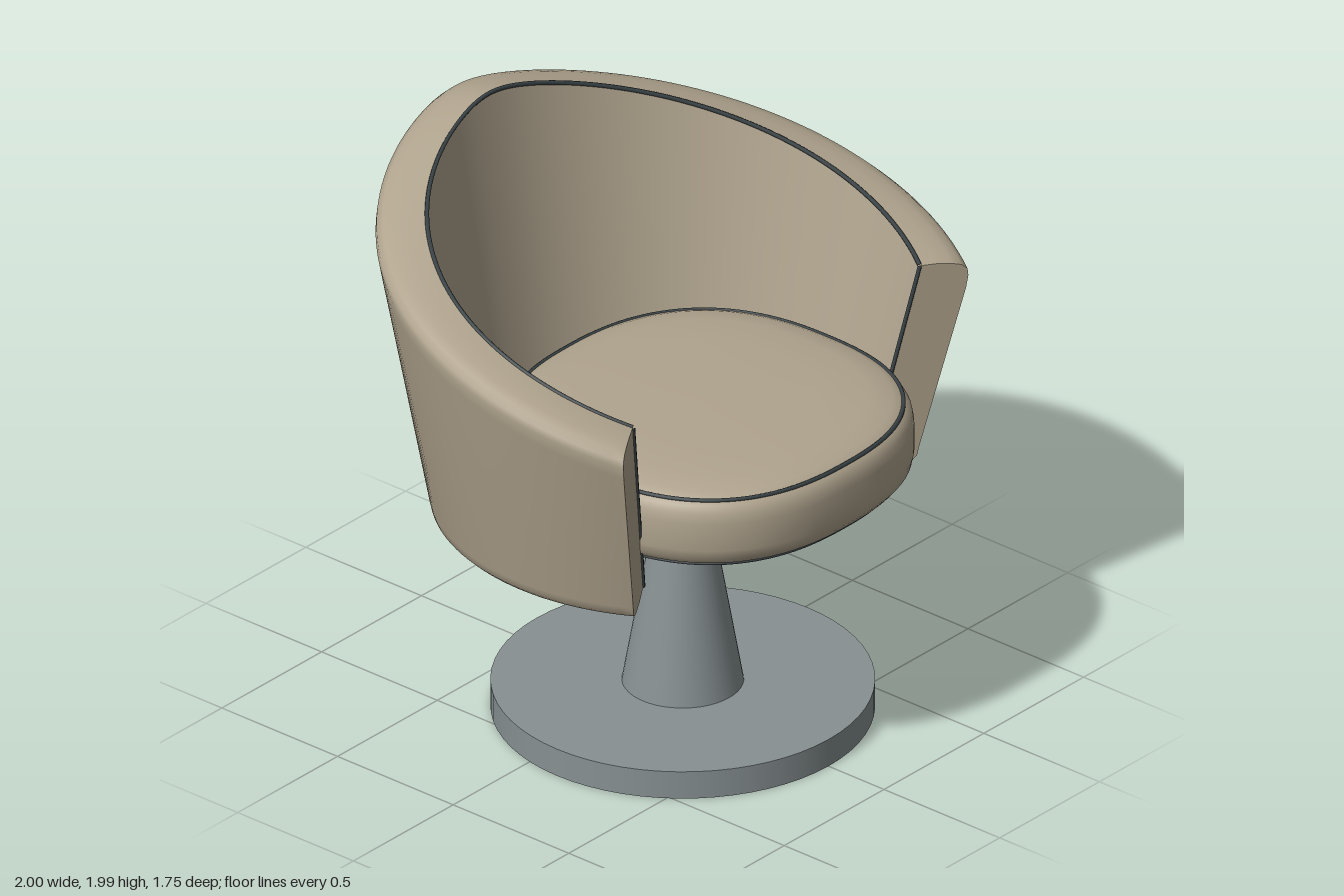
import * as THREE from 'three';
import { toCreasedNormals } from 'three/addons/utils/BufferGeometryUtils.js';

const material = (name, color) => {
  const m = new THREE.MeshStandardMaterial({ color });
  m.name = name;
  return m;
};

// Surface from a rule point(i, j) -> [x, y, z]; i cross j points outward.
function gridGeometry(nu, nv, point, capEnds = false) {
  const pos = [], index = [];
  for (let i = 0; i <= nu; i++) for (let j = 0; j <= nv; j++) pos.push(...point(i, j));
  const id = (i, j) => i * (nv + 1) + j;
  for (let i = 0; i < nu; i++) for (let j = 0; j < nv; j++) {
    index.push(id(i, j), id(i + 1, j), id(i, j + 1));
    index.push(id(i + 1, j), id(i + 1, j + 1), id(i, j + 1));
  }
  if (capEnds) for (const i of [0, nu]) {
    const c = [0, 0, 0];
    for (let j = 0; j < nv; j++) point(i, j).forEach((v, k) => { c[k] += v / nv; });
    const ci = pos.length / 3;
    pos.push(...c);
    for (let j = 0; j < nv; j++) {
      if (i === 0) index.push(ci, id(i, j), id(i, j + 1));
      else index.push(ci, id(i, j + 1), id(i, j));
    }
  }
  const g = new THREE.BufferGeometry();
  g.setAttribute('position', new THREE.Float32BufferAttribute(pos, 3));
  g.setIndex(index);
  return toCreasedNormals(g, 0.75);
}

export function createModel() {
  const fabric = material('beige upholstery', 0xb0a48e);
  const metal = material('grey metal', 0x879092);
  const black = material('black swivel', 0x2a2a2a);
  const trim = material('dark piping', 0x3a4346);

  const chair = new THREE.Group();
  chair.name = 'swivelChair';
  const add = (name, geometry, mat, x = 0, y = 0, z = 0) => {
    const mesh = new THREE.Mesh(geometry, mat);
    mesh.name = name;
    mesh.position.set(x, y, z);
    chair.add(mesh);
  };
  const piping = (name, points, closed = false) => {
    const curve = new THREE.CatmullRomCurve3(points.map(p => new THREE.Vector3(...p)), closed);
    add(name, new THREE.TubeGeometry(curve, points.length * 2, 0.0075, 6, closed), trim);
  };

  // Pedestal
  const axisZ = 0.13;
  add('basePlate', new THREE.CylinderGeometry(0.63, 0.63, 0.1, 64), metal, 0, 0.05, axisZ);
  add('column', new THREE.CylinderGeometry(0.09, 0.2, 0.64, 48), metal, 0, 0.42, axisZ);
  add('swivelCollar', new THREE.CylinderGeometry(0.18, 0.18, 0.1, 48), black, 0, 0.79, axisZ);

  // Wraparound back: 240 degree flared shell, highest at the back
  const shellZ = 0.12, steps = 96;
  const angle = i => (i / steps * 240 - 120);
  const rimY = deg => 1.985 - 0.00441 * (Math.hypot(deg, 8) - 8);
  const polar = (deg, r, y) => {
    const a = THREE.MathUtils.degToRad(deg);
    return [r * Math.sin(a), y, shellZ - r * Math.cos(a)];
  };
  const section = deg => {
    const h = rimY(deg);
    return [
      [0.65, 0.795], [0.83, h], [0.89, h - 0.003], [0.94, h - 0.011], [0.975, h - 0.022],
      [0.995, h - 0.04], [0.998, h - 0.065], [0.99, h - 0.11],
      [0.826, 0.81], [0.82, 0.783], [0.805, 0.768], [0.775, 0.763], [0.71, 0.772], [0.65, 0.795],
    ];
  };
  add('wraparoundBack', gridGeometry(steps, 13, (i, j) => {
    const deg = angle(i);
    return polar(deg, ...section(deg)[j]);
  }, true), fabric);

  // Piping round the inner edge of the shell
  const sweep = Array.from({ length: steps + 1 }, (_, i) => angle(i));
  piping('rimPiping', sweep.map(d => polar(d, 0.83, rimY(d))));
  piping('lowerPiping', sweep.map(d => polar(d, 0.65, 0.795)));
  for (const [name, d] of [['leftArmPiping', 120], ['rightArmPiping', -120]]) {
    piping(name, [polar(d, 0.83, rimY(d)), polar(d, 0.65, 0.795)]);
  }

  // Seat cushion: rounded-square rings stacked from bottom to top
  const seatZ = 0.235, around = 96;
  const ring = (i, half, y) => {
    const a = i / around * Math.PI * 2;
    const c = Math.cos(a), s = Math.sin(a);
    const r = half / Math.pow(Math.abs(c) ** 2.45 + Math.abs(s) ** 2.45, 1 / 2.45);
    return [r * c, y, seatZ - r * s * 0.992];
  };
  const cushion = [
    [0, 0.882], [0.3, 0.884], [0.48, 0.891], [0.56, 0.903], [0.59, 0.917], [0.615, 0.932],
    [0.633, 0.955], [0.64, 0.99], [0.64, 1.09], [0.634, 1.125], [0.622, 1.148], [0.607, 1.162],
    [0.575, 1.177], [0.5, 1.19], [0.35, 1.197], [0, 1.2],
  ];
  add('seatCushion', gridGeometry(around, cushion.length - 1,
    (i, j) => ring(i, ...cushion[j])), fabric);
  for (const [name, half, y] of [['seatTopPiping', 0.607, 1.162], ['seatBottomPiping', 0.59, 0.917]]) {
    piping(name, Array.from({ length: around }, (_, i) => ring(i, half, y)), true);
  }

  return chair;
}
